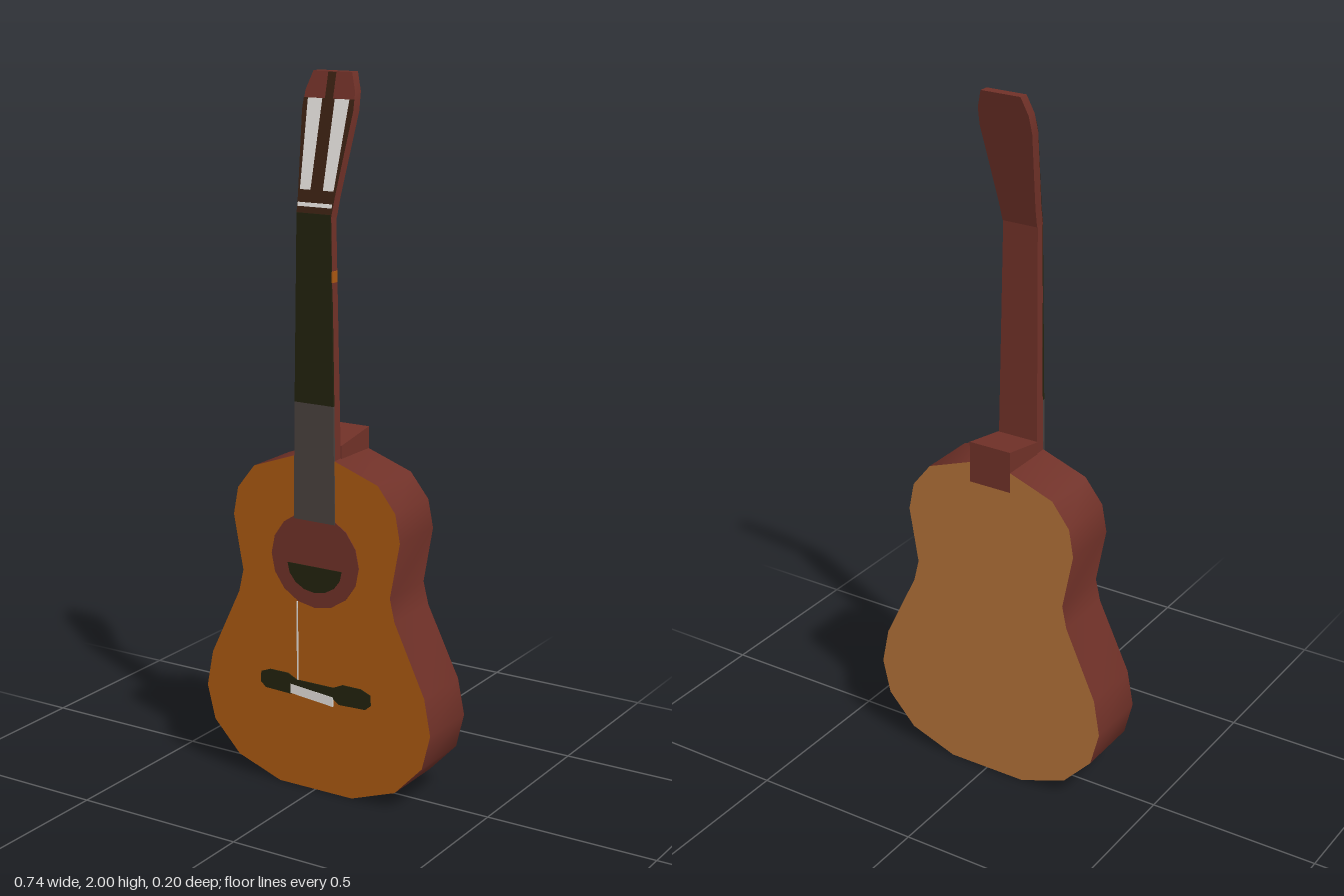
import * as THREE from 'three';
import { toCreasedNormals } from 'three/addons/utils/BufferGeometryUtils.js';

const paint = (name, color) => {
  const m = new THREE.MeshStandardMaterial({ color });
  m.name = name;
  return m;
};

export function createModel() {
  const guitar = new THREE.Group();
  guitar.name = 'guitar';

  const spruce = paint('orange top', 0xaa5811);
  const tan = paint('tan back', 0xb07038);
  const mahogany = paint('red brown wood', 0x703128);
  const ebony = paint('olive black', 0x23230e);
  const grey = paint('worn grey', 0x4a413e);
  const walnut = paint('dark brown', 0x3a2012);
  const ivory = paint('off white', 0xe2deda);

  // Full outline from its right half, listed bottom to top
  const mirrored = (half) => [...half, ...half.map(([x, y]) => [-x, y]).reverse()];

  // Slab whose back and front depths follow rules of height
  function slab(name, outline, back, front, side, frontMat = side, backMat = side) {
    const shape = new THREE.Shape(outline.map(([x, y]) => new THREE.Vector2(x, y)));
    const geo = new THREE.ExtrudeGeometry(shape, { depth: 1, bevelEnabled: false });
    const pos = geo.attributes.position;
    for (let i = 0; i < pos.count; i++) {
      const y = pos.getY(i);
      pos.setZ(i, pos.getZ(i) < 0.5 ? back(y) : front(y));
    }
    // Caps come first (back, then front), walls after
    const caps = geo.groups[0].count;
    geo.clearGroups();
    geo.addGroup(0, caps / 2, 0);
    geo.addGroup(caps / 2, caps / 2, 1);
    geo.addGroup(caps, pos.count - caps, 2);
    const mesh = new THREE.Mesh(toCreasedNormals(geo, 0.6), [backMat, frontMat, side]);
    mesh.name = name;
    guitar.add(mesh);
    return mesh;
  }

  const FACE = 0.096;
  const flat = (z) => () => z;
  const plate = (name, outline, mat, lift = 0.003) =>
    slab(name, outline, flat(FACE - 0.002), flat(FACE + lift), mat);

  // Body
  const bodyHalf = [
    [0.12, 0], [0.26, 0.05], [0.345, 0.14], [0.37, 0.24], [0.35, 0.345], [0.255, 0.545],
    [0.24, 0.61], [0.27, 0.77], [0.255, 0.85], [0.2, 0.92], [0.06, 0.97],
  ];
  slab('body', mirrored(bodyHalf), (y) => -0.1 + 0.022 * y, flat(FACE), mahogany, spruce, tan);

  // Heel block, its top rising toward the back
  const heelGeo = new THREE.BoxGeometry(0.13, 0.12, 0.143);
  heelGeo.translate(0, 0.95, -0.0085);
  const hp = heelGeo.attributes.position;
  for (let i = 0; i < hp.count; i++) {
    if (hp.getY(i) > 0.95) hp.setY(i, hp.getZ(i) < 0 ? 1.03 : 1.005);
  }
  heelGeo.computeVertexNormals();
  const heel = new THREE.Mesh(heelGeo, mahogany);
  heel.name = 'heel';
  guitar.add(heel);

  // Neck and fingerboard
  slab('neck', mirrored([[0.063, 0.95], [0.054, 1.635]]),
    (y) => 0.063 + 0.015 * (y - 1), flat(FACE), mahogany);
  plate('lowerFingerboard', mirrored([[0.066, 0.79], [0.062, 1.12]]), grey, 0.004);
  plate('upperFingerboard', mirrored([[0.062, 1.12], [0.053, 1.635]]), ebony, 0.004);

  // Small marker on the neck's left edge
  const marker = new THREE.Mesh(new THREE.BoxGeometry(0.006, 0.03, 0.024), spruce);
  marker.position.set(0.056, 1.47, 0.086);
  marker.name = 'sideMarker';
  guitar.add(marker);

  // Headstock, leaning back
  const headFront = (y) => 0.097 - 0.25 * (y - 1.63);
  const headPlate = (name, outline, mat, lift) =>
    slab(name, outline, (y) => headFront(y) - 0.002, (y) => headFront(y) + lift, mat);
  slab('headstock', mirrored([[0.054, 1.625], [0.057, 1.68], [0.08, 1.9], [0.077, 1.95], [0.06, 2]]),
    (y) => headFront(y) - 0.029, headFront, mahogany);
  headPlate('headFace',
    mirrored([[0.054, 1.63], [0.057, 1.68], [0.079, 1.9], [0.078, 1.93]]), walnut, 0.002);
  headPlate('headStripe', mirrored([[0.012, 1.93], [0.012, 1.998]]), walnut, 0.002);
  headPlate('nut', mirrored([[0.053, 1.652], [0.053, 1.662]]), ivory, 0.005);
  for (const s of [1, -1]) {
    const pts = [[0.02, 1.695], [0.052, 1.695], [0.064, 1.93], [0.02, 1.93]];
    headPlate(s > 0 ? 'leftTunerPlate' : 'rightTunerPlate',
      pts.map(([x, y]) => [s * x, y]), ivory, 0.004);
  }

  // Rosette and sound hole
  const arc = (rx, ry, cy, from, to, n) => Array.from({ length: n + 1 }, (_, i) => {
    const a = from + (to - from) * i / n;
    return [rx * Math.cos(a), cy + ry * Math.sin(a)];
  });
  plate('rosette', arc(0.142, 0.137, 0.678, 0, Math.PI * 15 / 8, 15), mahogany, 0.002);
  plate('soundHole', arc(0.088, 0.075, 0.66, Math.PI, Math.PI * 2, 8), ebony, 0.004);

  // Bridge, saddle and a string
  plate('bridge', mirrored([
    [0.06, 0.285], [0.08, 0.272], [0.165, 0.275], [0.182, 0.29],
    [0.18, 0.32], [0.15, 0.332], [0.09, 0.332], [0.06, 0.318],
  ]), ebony, 0.003);
  plate('saddle', [[-0.08, 0.275], [0.06, 0.262], [0.06, 0.29], [-0.08, 0.302]], ivory, 0.004);
  plate('string', [[-0.06, 0.3], [-0.056, 0.3], [-0.056, 0.55], [-0.06, 0.55]], ivory, 0.002);

  return guitar;
}
